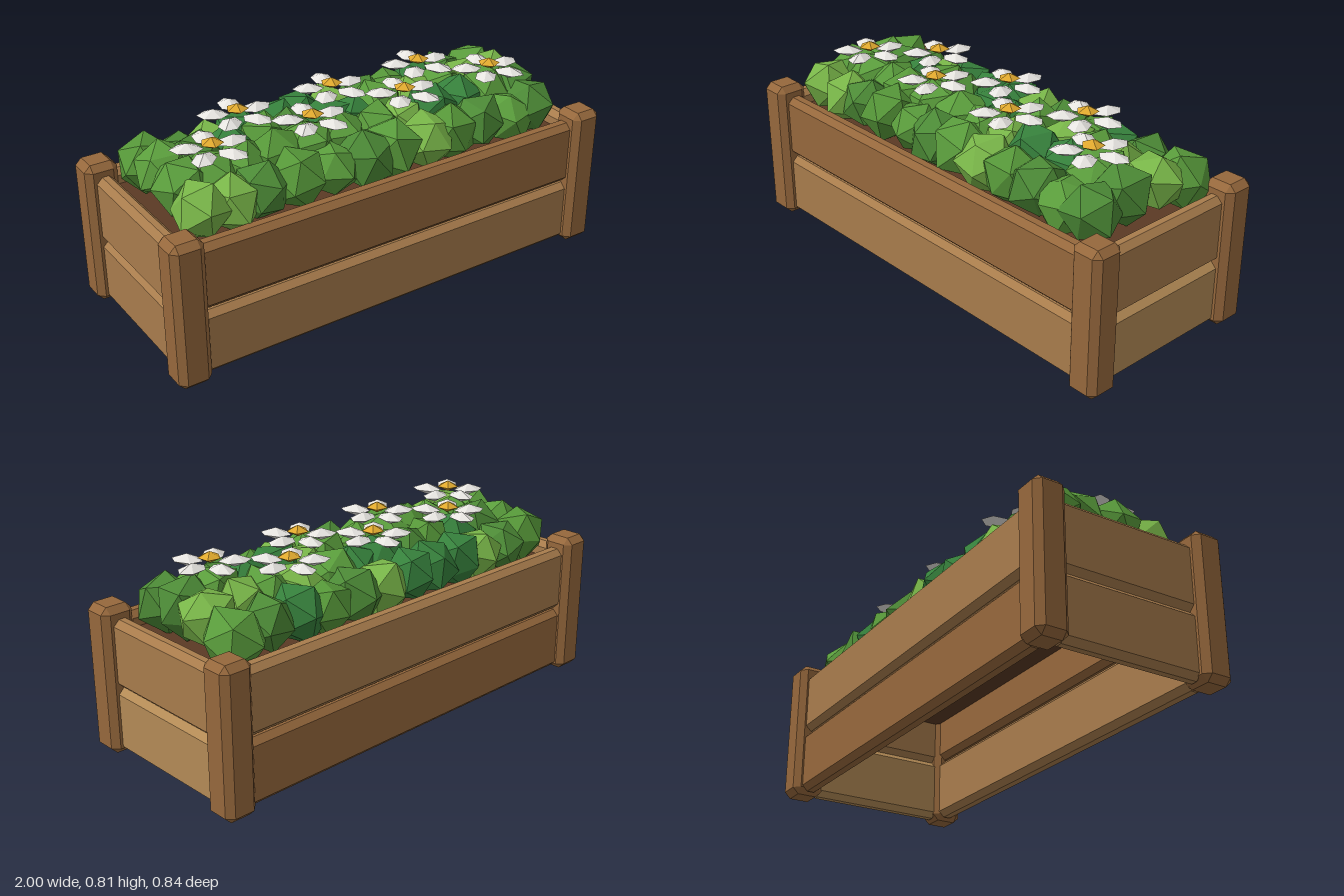
import * as THREE from 'three';
import { ConvexGeometry } from 'three/addons/geometries/ConvexGeometry.js';

const paint = (color) => new THREE.MeshStandardMaterial({ color, flatShading: true });
const WOOD = { dark: paint(0x96683c), mid: paint(0xa87c4c), light: paint(0xb48b56) };
const SOIL = paint(0x5b3a24);
const LEAVES = [0x559638, 0x5a9d3c, 0x4c8a36, 0x78b548, 0x36813c].map(paint);
const PETAL = paint(0xe6e4e0);
const POLLEN = paint(0xe0a92e);
const SIGNS = [-1, 1];

// Seeded pseudo-random numbers in 0..1
function makeRandom(seed) {
  return () => {
    seed = (seed * 16807) % 2147483647;
    return seed / 2147483647;
  };
}

// Box with every edge cut at 45 degrees
function chamferBox(w, h, d, c) {
  const points = [];
  for (const x of SIGNS) for (const y of SIGNS) for (const z of SIGNS) {
    const p = new THREE.Vector3(x * w / 2, y * h / 2, z * d / 2);
    points.push(p.clone().sub(new THREE.Vector3(0, y * c, z * c)));
    points.push(p.clone().sub(new THREE.Vector3(x * c, 0, z * c)));
    points.push(p.clone().sub(new THREE.Vector3(x * c, y * c, 0)));
  }
  return new ConvexGeometry(points);
}

function add(parent, name, geometry, material, x, y, z) {
  const mesh = new THREE.Mesh(geometry, material);
  mesh.name = name;
  mesh.position.set(x, y, z);
  parent.add(mesh);
  return mesh;
}

// Irregular low-poly clump from a jittered icosahedron
function leafClump(radius, random) {
  const phi = (1 + Math.sqrt(5)) / 2;
  const turn = new THREE.Euler(random() * 6, random() * 6, random() * 6);
  const points = [];
  for (const a of SIGNS) for (const b of SIGNS) {
    for (const v of [[0, a, b * phi], [a, b * phi, 0], [b * phi, 0, a]]) {
      points.push(new THREE.Vector3(...v).setLength(radius * (0.9 + 0.22 * random())).applyEuler(turn));
    }
  }
  return new ConvexGeometry(points);
}

function createCrate() {
  const crate = new THREE.Group();
  crate.name = 'crate';

  // Corner posts
  const post = chamferBox(0.136, 0.61, 0.135, 0.026);
  for (const x of SIGNS) for (const z of SIGNS) {
    add(crate, 'cornerPost', post, WOOD.dark, x * 0.932, 0.305, z * 0.3525);
  }

  // Long planks, with a narrow gap between lower and upper
  const longLower = chamferBox(1.78, 0.27, 0.08, 0.024);
  const longUpper = chamferBox(1.78, 0.272, 0.08, 0.024);
  add(crate, 'frontLowerPlank', longLower, WOOD.mid, 0, 0.145, 0.343);
  add(crate, 'frontUpperPlank', longUpper, WOOD.dark, 0, 0.424, 0.343);
  add(crate, 'backLowerPlank', longLower, WOOD.dark, 0, 0.145, -0.347);
  add(crate, 'backUpperPlank', longUpper, WOOD.mid, 0, 0.424, -0.347);

  // End planks
  const endLower = chamferBox(0.075, 0.27, 0.63, 0.024);
  const endUpper = chamferBox(0.075, 0.28, 0.63, 0.024);
  for (const x of SIGNS) {
    add(crate, 'endLowerPlank', endLower, x > 0 ? WOOD.light : WOOD.mid, x * 0.925, 0.145, 0);
    add(crate, 'endUpperPlank', endUpper, WOOD.mid, x * 0.925, 0.42, 0);
  }

  // Soil tray, open underneath
  add(crate, 'soil', new THREE.BoxGeometry(1.8, 0.03, 0.64), SOIL, 0, 0.485, 0);
  return crate;
}

function createFoliage() {
  const foliage = new THREE.Group();
  foliage.name = 'foliage';
  const random = makeRandom(4217);
  const columns = 12;
  for (const [row, z] of [-0.22, -0.075, 0.075, 0.215].entries()) {
    const inner = row === 1 || row === 2;
    for (let i = 0; i < columns; i++) {
      const x = -0.79 + (1.58 * i) / (columns - 1);
      const tone = inner || row === 0 ? random() * 5 : random() * 4;
      add(foliage, 'leafClump', leafClump(0.108 + 0.018 * random(), random), LEAVES[Math.floor(tone)],
        x + (random() - 0.5) * 0.04, (inner ? 0.625 : 0.59) + 0.025 * random(), z + (random() - 0.5) * 0.03);
    }
  }
  return foliage;
}

// Five faceted petals around a pointed yellow centre
function createFlower(x, z) {
  const flower = new THREE.Group();
  flower.name = 'flower';
  flower.position.set(x, 0.765, z);
  flower.rotation.y = THREE.MathUtils.degToRad(8);
  const petal = new THREE.SphereGeometry(1, 6, 2).scale(0.065, 0.025, 0.046).translate(0.094, 0, 0);
  for (let i = 0; i < 5; i++) {
    add(flower, 'petal', petal, PETAL, 0, 0, 0).rotation.y = (i * Math.PI * 2) / 5;
  }
  add(flower, 'flowerCentre', new THREE.SphereGeometry(1, 5, 2).scale(0.046, 0.023, 0.046), POLLEN, 0, 0.022, 0);
  return flower;
}

export function createModel() {
  const model = new THREE.Group();
  model.name = 'flowerPlanter';
  model.add(createCrate(), createFoliage());
  for (const x of [-0.435, 0, 0.435]) model.add(createFlower(x, -0.11));
  for (const x of [-0.655, -0.22, 0.217, 0.652]) model.add(createFlower(x, 0.09));
  return model;
}
